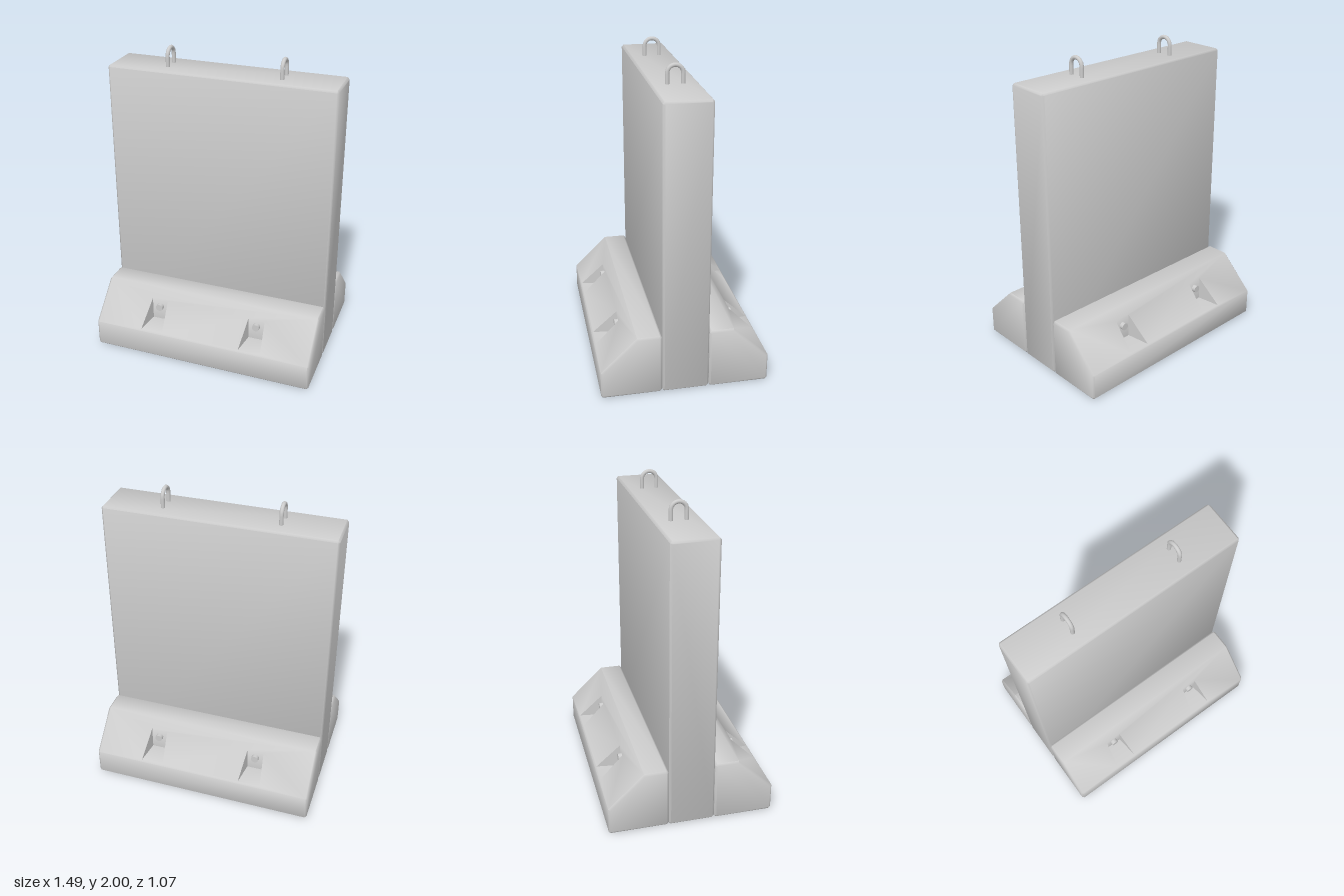
import * as THREE from 'three';
import { mergeGeometries, toCreasedNormals } from 'three/addons/utils/BufferGeometryUtils.js';

const HALF = 0.743, BEVEL = 0.012, CREASE = 0.9;
const BOLT_X = 0.342, POCKET_BACK = 0.365, POCKET_FRONT = 0.523;
const material = new THREE.MeshStandardMaterial({ color: 0xcccccc });

// height of the footing's sloped face at depth z
const slopeY = (z) => 0.4 - (z - 0.305) * (0.22 / 0.228);

function mesh(name, geometry) {
  const m = new THREE.Mesh(geometry, material);
  m.name = name;
  return m;
}

function fromPositions(array) {
  const g = new THREE.BufferGeometry();
  g.setAttribute('position', new THREE.Float32BufferAttribute(array, 3));
  return g;
}

// extrude a [z, y] profile along x, with chamfered ends
function slab(profile) {
  const shape = new THREE.Shape(profile.map(([z, y]) => new THREE.Vector2(z, y)));
  const depth = 2 * (HALF - BEVEL);
  const g = new THREE.ExtrudeGeometry(shape, {
    depth, bevelEnabled: true, bevelSegments: 1,
    bevelSize: BEVEL, bevelThickness: BEVEL, bevelOffset: -BEVEL,
  });
  return g.translate(0, 0, -depth / 2).rotateY(-Math.PI / 2);
}

function wallGeometry() {
  const w = 0.147, h = 1.875, b = BEVEL;
  return toCreasedNormals(slab([
    [-w + b, 0], [w - b, 0], [w, b], [w, h - b], [w - b, h], [-w + b, h], [-w, h - b], [-w, b],
  ]), CREASE);
}

// rim and floor corners of one bolt pocket
function pocketCorners(cx) {
  const yf = slopeY(POCKET_FRONT), yt = slopeY(POCKET_BACK);
  return {
    tl: [cx - 0.055, yt, POCKET_BACK], tr: [cx + 0.055, yt, POCKET_BACK],
    bl: [cx - 0.075, yf, POCKET_FRONT], br: [cx + 0.075, yf, POCKET_FRONT],
    fl: [cx - 0.055, yf, POCKET_BACK], fr: [cx + 0.055, yf, POCKET_BACK],
  };
}

function footingGeometry() {
  const i = 0.151, o = 0.533, b = BEVEL;
  const body = slab([
    [i + b, 0], [o - b, 0], [o, b], [o, 0.18], [0.305, 0.4], [i + b, 0.4], [i, 0.4 - b], [i, b],
  ]).getAttribute('position');

  // keep everything but the plain slope, which is replaced by one with pockets
  const kept = [];
  for (let t = 0; t < body.count; t += 3) {
    const tri = [0, 1, 2].map((k) => new THREE.Vector3().fromBufferAttribute(body, t + k));
    if (tri.every((p) => Math.abs(p.y - slopeY(p.z)) < 1e-4)) continue;
    tri.forEach((p) => kept.push(p.x, p.y, p.z));
  }

  // sloped face with two openings, laid out in (x, -z)
  const e = HALF - BEVEL;
  const outline = (pts) => pts.map(([x, z]) => new THREE.Vector2(x, -z));
  const face = new THREE.Shape(outline([[-e, o], [e, o], [e, 0.305], [-e, 0.305]]));
  const walls = [];
  for (const cx of [-BOLT_X, BOLT_X]) {
    const { tl, tr, bl, br, fl, fr } = pocketCorners(cx);
    face.holes.push(new THREE.Path(outline([tl, tr, br, bl].map((p) => [p[0], p[2]]))));
    walls.push(
      fl, fr, tr, fl, tr, tl, // back
      bl, br, fr, bl, fr, fl, // floor
      fl, tl, bl, fr, br, tr, // sides
    );
  }
  const sheet = new THREE.ShapeGeometry(face).toNonIndexed();
  const p = sheet.getAttribute('position');
  const slope = [];
  for (let k = 0; k < p.count; k++) slope.push(p.getX(k), slopeY(-p.getY(k)), -p.getY(k));

  return toCreasedNormals(
    mergeGeometries([kept, slope, walls.flat()].map(fromPositions)), CREASE);
}

// lifting eye: two legs joined by a half circle
function loopGeometry() {
  const r = 0.048, top = 1.939;
  const path = new THREE.CurvePath();
  const at = (y, z) => new THREE.Vector3(0, y, z);
  const arc = [];
  for (let k = 0; k <= 12; k++) {
    const a = (k / 12) * Math.PI;
    arc.push(at(top + r * Math.sin(a), r * Math.cos(a)));
  }
  path.add(new THREE.LineCurve3(at(1.85, r), at(top, r)));
  path.add(new THREE.CatmullRomCurve3(arc));
  path.add(new THREE.LineCurve3(at(top, -r), at(1.85, -r)));
  return new THREE.TubeGeometry(path, 40, 0.013, 12);
}

export function createModel() {
  const model = new THREE.Group();
  model.name = 'concreteBarrier';
  model.add(mesh('wall', wallGeometry()));

  // footing with its bolts, front and back
  const footingGeo = footingGeometry();
  const boltGeo = new THREE.CylinderGeometry(0.024, 0.024, 0.035, 20).rotateX(Math.PI / 2);
  for (const [name, turn] of [['front', 0], ['back', Math.PI]]) {
    const side = new THREE.Group();
    side.name = name + 'Footing';
    side.add(mesh('footingBlock', footingGeo));
    for (const x of [-BOLT_X, BOLT_X]) {
      const bolt = mesh('bolt', boltGeo);
      bolt.position.set(x, 0.29, 0.3735);
      side.add(bolt);
    }
    side.rotation.y = turn;
    model.add(side);
  }

  // lifting eyes on top
  const loopGeo = loopGeometry();
  for (const x of [-0.372, 0.372]) {
    const loop = mesh('liftingLoop', loopGeo);
    loop.position.x = x;
    model.add(loop);
  }
  return model;
}
